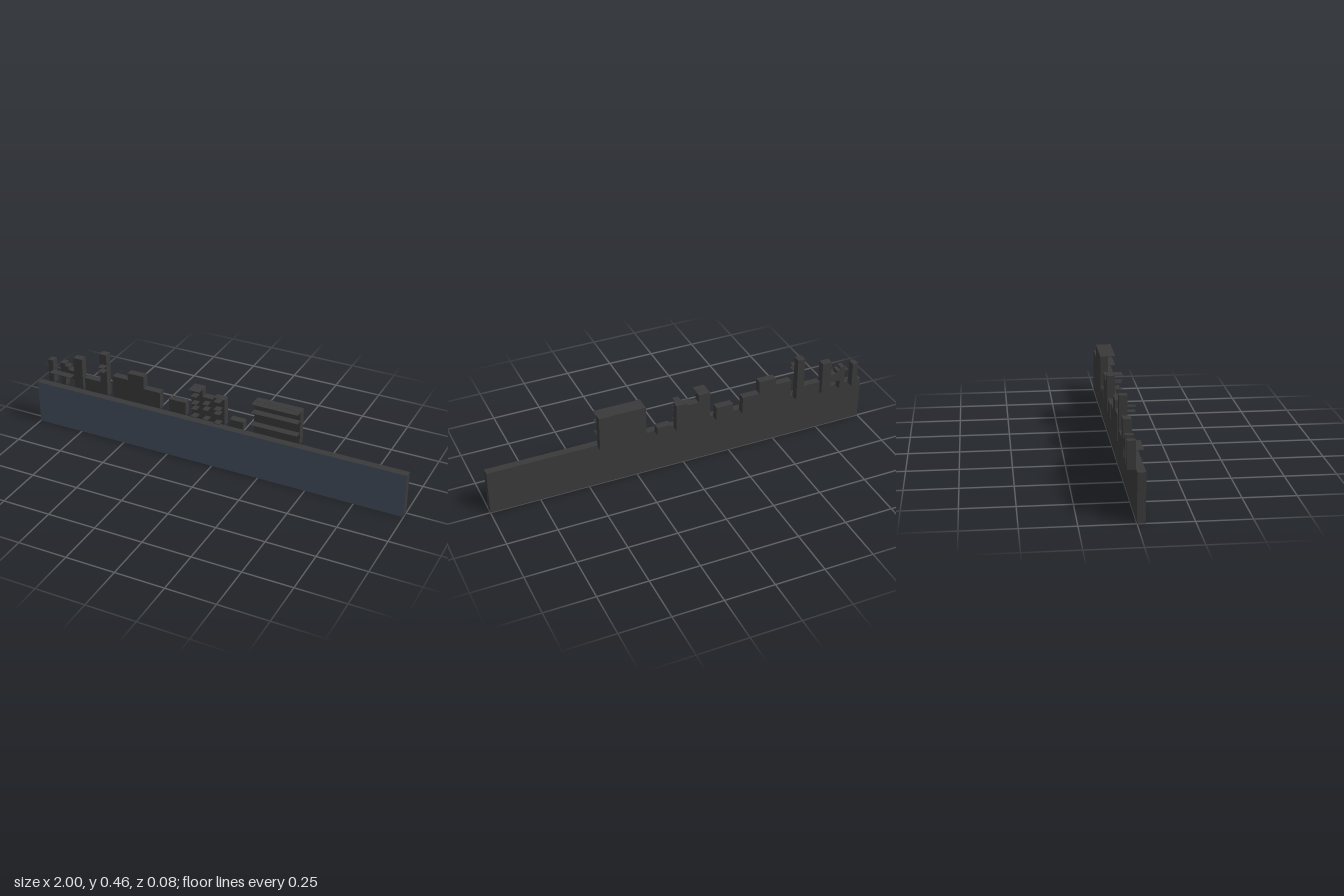
import * as THREE from 'three';

export function createModel() {
  const model = new THREE.Group();
  const dark = new THREE.MeshStandardMaterial({ color: 0x3a3a3a });
  const blue = new THREE.MeshStandardMaterial({ color: 0x445060 });
  const depth = 0.038;

  // Box given by its x, y and z limits
  function block(name, x0, x1, y0, y1, z0, z1, material = dark) {
    const mesh = new THREE.Mesh(new THREE.BoxGeometry(x1 - x0, y1 - y0, z1 - z0), material);
    mesh.position.set((x0 + x1) / 2, (y0 + y1) / 2, (z0 + z1) / 2);
    mesh.name = name;
    model.add(mesh);
  }

  // Long base wall with a coloured front face
  block('baseWall', -1, 1, 0, 0.23, 0, depth, [dark, dark, dark, dark, blue, dark]);

  // Skyline standing behind the wall: left edge, right edge, top
  const skyline = [
    [-0.955, -0.925, 0.355], [-0.88, -0.853, 0.355], [-0.8, -0.75, 0.4],
    [-0.737, -0.645, 0.3], [-0.645, -0.606, 0.459], [-0.573, -0.485, 0.35],
    [-0.485, -0.395, 0.388], [-0.395, -0.305, 0.32], [-0.253, -0.163, 0.3],
    [-0.127, -0.067, 0.4], [-0.067, -0.007, 0.358], [-0.007, 0.052, 0.37],
    [0.08, 0.152, 0.27], [0.21, 0.449, 0.407],
  ];
  for (const [x0, x1, top] of skyline) block('building', x0, x1, 0.226, top, -depth, 0);

  // Raised links between the towers at the left end
  block('upperLink', -0.853, -0.832, 0.278, 0.341, -depth, 0);
  block('lowerLink', -0.832, -0.8, 0.278, 0.323, -depth, 0);

  // Thin ledges on the building fronts: left edge, right edge, heights
  const ledges = [
    [0.21, 0.449, [0.405, 0.358, 0.291]],
    [-0.127, -0.067, [0.4]],
    [-0.113, -0.083, [0.368, 0.328, 0.298, 0.256]],
    [-0.05, -0.022, [0.34, 0.309, 0.256]],
    [0.01, 0.042, [0.368, 0.325, 0.302, 0.25]],
    [-0.635, -0.602, [0.402, 0.378]],
    [-0.925, -0.88, [0.302]],
    [-0.88, -0.8, [0.302]],
  ];
  for (const [x0, x1, heights] of ledges) {
    for (const y of heights) block('ledge', x0, x1, y - 0.0015, y + 0.0015, 0, depth);
  }
  return model;
}
